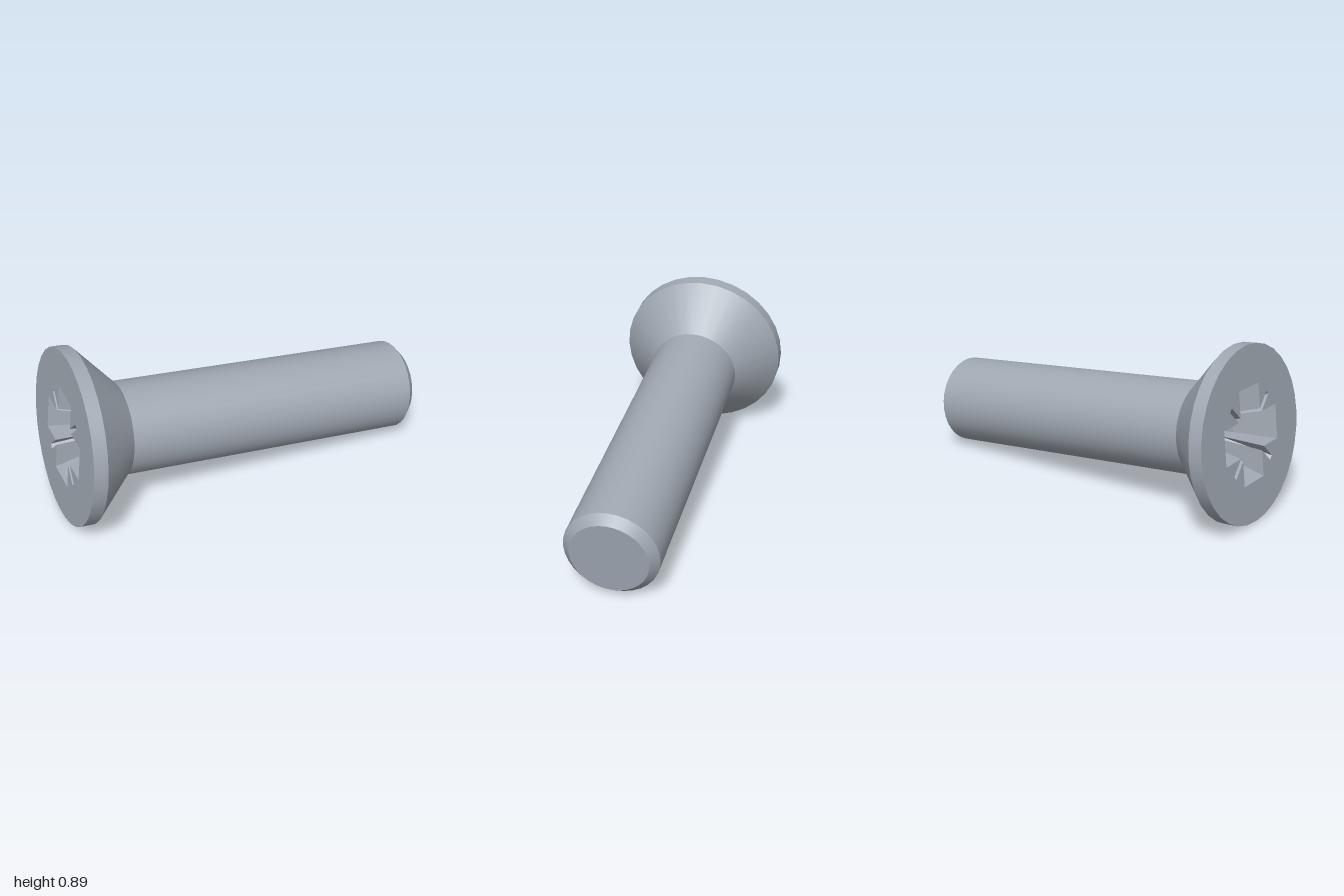
import * as THREE from 'three';

const SIDES = 32;
const HEAD_R = 0.446, SHAFT_R = 0.2365, TIP_R = 0.1945, LENGTH = 1.901;

// Outline of the driver recess: four wide wings with a thin diagonal tick between each pair.
function recessOutline(reach, half, tick, tickEnd) {
  const quadrant = [
    [reach, -half], [reach, half], [half + tick, half],
    [tickEnd + tick / 2, tickEnd - tick / 2],
    [tickEnd - tick / 2, tickEnd + tick / 2],
    [half, half + tick],
  ];
  const points = [];
  for (let q = 0; q < 4; q++) {
    for (const [x, y] of quadrant) {
      points.push(new THREE.Vector2(x, y).rotateAround(new THREE.Vector2(), q * Math.PI / 2));
    }
  }
  return points;
}

// Tapered pocket walls from the rim outline to the floor outline, closed by a shallow point.
function recessGeometry(rim, floor, depth, pointDepth) {
  const pos = [];
  const put = (p, z) => pos.push(p.x, p.y, z);
  const centre = new THREE.Vector2();
  rim.forEach((a, i) => {
    const j = (i + 1) % rim.length;
    put(a, 0); put(rim[j], 0); put(floor[i], -depth);
    put(rim[j], 0); put(floor[j], -depth); put(floor[i], -depth);
    put(floor[i], -depth); put(floor[j], -depth); put(centre, -pointDepth);
  });
  const geometry = new THREE.BufferGeometry();
  geometry.setAttribute('position', new THREE.Float32BufferAttribute(pos, 3));
  geometry.computeVertexNormals();
  return geometry;
}

export function createModel() {
  const steel = new THREE.MeshStandardMaterial({ color: 0xa0a8b2 });
  steel.name = 'steel';
  const model = new THREE.Group();
  model.name = 'countersunkScrew';
  const screw = new THREE.Group();
  screw.name = 'screw';
  model.add(screw);

  const add = (name, geometry) => {
    const mesh = new THREE.Mesh(geometry, steel);
    mesh.name = name;
    screw.add(mesh);
  };

  // Turned body: one smooth band per section keeps the edges between them sharp
  const profile = [
    ['headRim', HEAD_R, 0],
    ['headCone', HEAD_R, 0.07],
    ['shaft', SHAFT_R, 0.28],
    ['tipChamfer', SHAFT_R, LENGTH - 0.042],
    ['tipFace', TIP_R, LENGTH],
    ['end', 0, LENGTH],
  ];
  for (let i = 0; i < profile.length - 1; i++) {
    const band = [profile[i], profile[i + 1]].map(([, r, y]) => new THREE.Vector2(r, y));
    add(profile[i][0], new THREE.LatheGeometry(band, SIDES));
  }

  // Flat head face with the recess cut out
  const rim = recessOutline(0.24, 0.09, 0.018, 0.17);
  const floor = recessOutline(0.15, 0.055, 0.012, 0.07);
  const disc = new THREE.Shape();
  disc.setFromPoints(Array.from({ length: SIDES }, (_, i) => {
    const a = i * 2 * Math.PI / SIDES;
    return new THREE.Vector2(HEAD_R * Math.cos(a), HEAD_R * Math.sin(a));
  }));
  disc.holes.push(new THREE.Path(rim));
  add('headFace', new THREE.ShapeGeometry(disc).rotateX(Math.PI / 2));
  add('driverRecess', recessGeometry(rim, floor, 0.2, 0.25).rotateX(Math.PI / 2));

  // Lay the screw along its tilted axis, head towards -x
  const axis = new THREE.Vector3(1, -0.118, 0.216).normalize();
  const across = new THREE.Vector3(-axis.z, 0, axis.x).normalize();
  const down = new THREE.Vector3().crossVectors(axis, across);
  screw.quaternion.setFromRotationMatrix(new THREE.Matrix4().makeBasis(down, axis, across));
  screw.position.set(-0.893, 0.451, -0.0935);
  return model;
}
